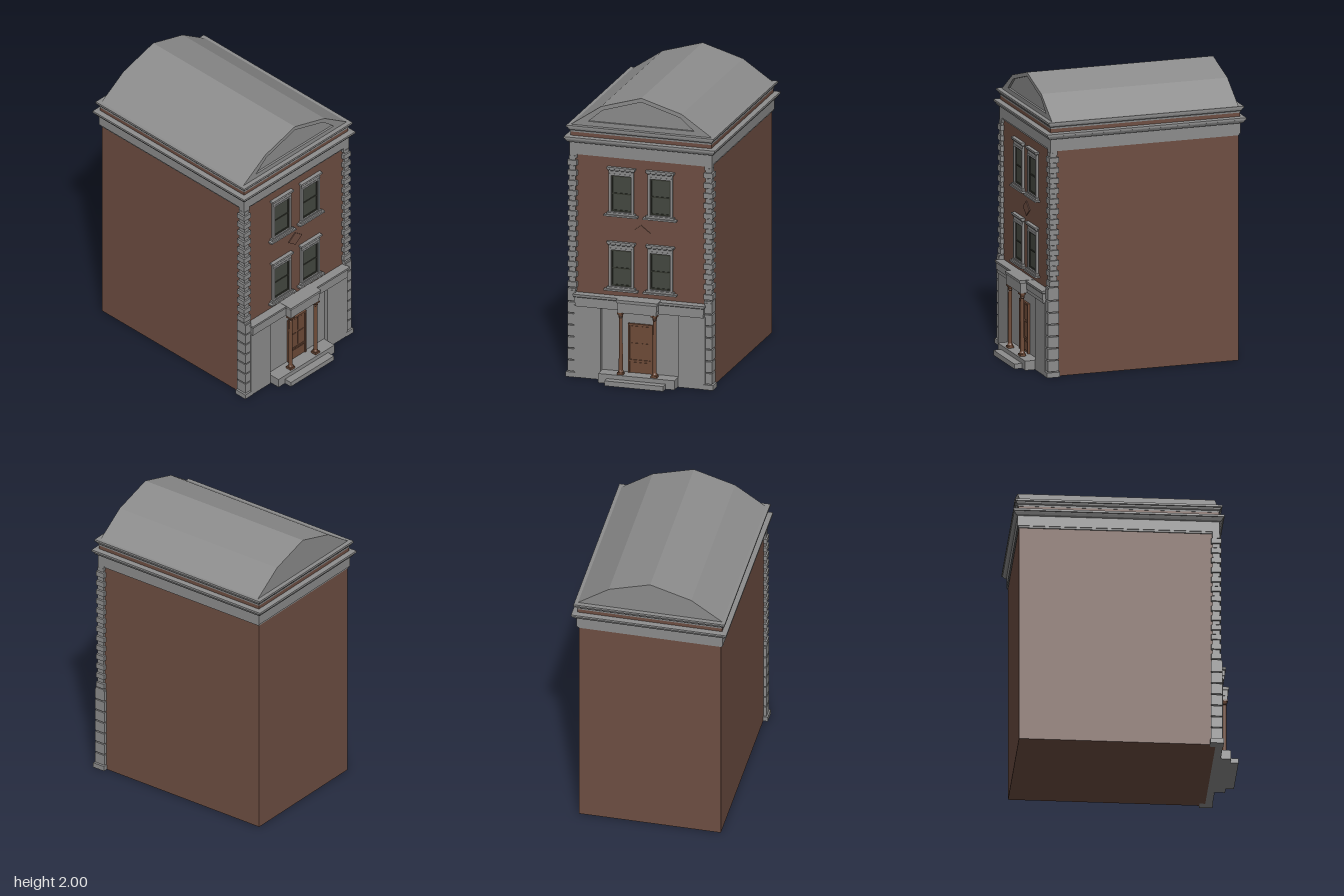
import * as THREE from 'three';

const mat = (name, color, side = THREE.FrontSide) => {
  const m = new THREE.MeshStandardMaterial({ color, side });
  m.name = name;
  return m;
};

export function createModel() {
  const stone = mat('stone', 0x8c8c8c);
  const brick = mat('brick', 0x6e4e42);
  const wood = mat('wood', 0x6e4b38);
  const glass = mat('glass', 0x444840);
  const sash = mat('sash', 0x35372f);
  const house = new THREE.Group();
  house.name = 'townhouse';

  const add = (name, geo, material, parent = house) => {
    const m = new THREE.Mesh(geo, material);
    m.name = name;
    parent.add(m);
    return m;
  };
  // Box given by its limits on each axis
  const box = (name, x0, x1, y0, y1, z0, z1, material, parent) => {
    const m = add(name, new THREE.BoxGeometry(x1 - x0, y1 - y0, z1 - z0), material, parent);
    m.position.set((x0 + x1) / 2, (y0 + y1) / 2, (z0 + z1) / 2);
    return m;
  };
  // Rectangular moulding: stacked rings of [outward offset, height] round a plan
  const moulding = (name, plan, profile, material, parent) => {
    const pos = [], idx = [], [x0, x1, z0, z1] = plan;
    for (const [o, y] of profile)
      pos.push(x0 - o, y, z1 + o, x1 + o, y, z1 + o, x1 + o, y, z0 - o, x0 - o, y, z0 - o);
    const n = profile.length;
    for (let r = 0; r < n - 1; r++)
      for (let i = 0; i < 4; i++) {
        const a = r * 4 + i, b = r * 4 + (i + 1) % 4;
        idx.push(a, b, b + 4, a, b + 4, a + 4);
      }
    const t = (n - 1) * 4;
    idx.push(t, t + 1, t + 2, t, t + 2, t + 3, 0, 2, 1, 0, 3, 2);
    let g = new THREE.BufferGeometry();
    g.setAttribute('position', new THREE.Float32BufferAttribute(pos, 3));
    g.setIndex(idx);
    g = g.toNonIndexed();
    g.computeVertexNormals();
    return add(name, g, material, parent);
  };
  const shape = (pts) => new THREE.Shape(pts.map(([x, y]) => new THREE.Vector2(x, y)));
  const extrude = (s, depth) => new THREE.ExtrudeGeometry(s, { depth, bevelEnabled: false });

  // Main brick walls
  box('brickWalls', -0.49, 0.49, 0, 1.6, -0.73, 0.61, brick);

  // Frieze and cornices
  const plan = [-0.495, 0.495, -0.73, 0.615];
  moulding('frieze', plan, [[0.004, 1.565], [0.004, 1.577], [0.01, 1.577], [0.01, 1.652]], stone);
  moulding('lowerCornice', plan, [[0.012, 1.65], [0.024, 1.656], [0.032, 1.67], [0.034, 1.676],
    [0.041, 1.678], [0.041, 1.692], [0.005, 1.696]], stone);
  moulding('brickBand', plan, [[0.005, 1.69], [0.005, 1.725]], brick);
  moulding('upperCornice', plan, [[0.007, 1.722], [0.008, 1.734], [0.017, 1.744], [0.019, 1.754],
    [0.027, 1.756], [0.027, 1.77]], stone);

  // Faceted roof with a sunken front gable
  const roofLine = [[-0.5, 1.769], [0.5, 1.769], [0.285, 1.915], [0, 2], [-0.285, 1.915]];
  add('roof', extrude(shape(roofLine), 1.32), stone).position.z = -0.725;
  const rim = shape(roofLine);
  rim.holes.push(shape([[-0.375, 1.802], [-0.275, 1.888], [0, 1.972], [0.275, 1.888], [0.375, 1.802]]));
  add('gableRim', extrude(rim, 0.015), stone).position.z = 0.595;

  // Corner quoins, alternately long and short, over heavier ground floor blocks
  for (const s of [-1, 1]) {
    const q = new THREE.Group();
    q.name = s > 0 ? 'leftQuoins' : 'rightQuoins';
    house.add(q);
    const corner = (name, inner, outer, y0, y1, z0, z1) =>
      box(name, Math.min(s * inner, s * outer), Math.max(s * inner, s * outer), y0, y1, z0, z1, stone, q);
    corner('quoinCore', 0.465, 0.5, 0, 1.577, 0.58, 0.624);
    corner('quoinTop', 0.452, 0.505, 1.54, 1.577, 0.575, 0.625);
    for (let i = 0; i < 13; i++) {
      const y = 0.63 + i * 0.0715;
      corner('longQuoin', 0.45, 0.515, y, y + 0.036, 0.568, 0.635);
      corner('shortQuoin', 0.462, 0.506, y + 0.041, y + 0.067, 0.578, 0.628);
    }
    corner('plinthBlock', 0.455, 0.522, 0, 0.035, 0.562, 0.653);
    for (let i = 0; i < 7; i++) {
      const y = 0.04 + i * 0.0825;
      corner('baseQuoin', 0.458, 0.512, y, y + 0.074, 0.566, 0.644);
    }
    corner('baseCap', 0.455, 0.512, 0.605, 0.622, 0.57, 0.64);
  }

  // Ground floor stone front with a recessed entrance bay
  const porch = new THREE.Group();
  porch.name = 'entranceFront';
  house.add(porch);
  box('entranceWall', -0.465, 0.465, 0, 0.52, 0.6, 0.62, stone, porch);
  for (const s of [-1, 1]) {
    const p = box('sidePanel', -0.095, 0.095, 0, 0.51, 0.6, 0.65, stone, porch);
    p.position.x = s * 0.37;
  }
  moulding('entablature', [-0.455, 0.455, 0.6, 0.66],
    [[0, 0.505], [0, 0.53], [0.004, 0.53], [0.004, 0.57], [0.01, 0.575], [0.012, 0.592]], stone, porch);
  moulding('porchEntablature', [-0.137, 0.137, 0.6, 0.705],
    [[0, 0.502], [0, 0.53], [0.003, 0.53], [0.003, 0.568], [0.009, 0.577], [0.01, 0.594]], stone, porch);
  box('upperStep', -0.27, 0.27, 0, 0.065, 0.6, 0.72, stone, porch);
  box('lowerStep', -0.208, 0.208, 0, 0.035, 0.65, 0.775, stone, porch);

  // Turned wooden columns
  const colProfile = [[0, 0.08], [0.019, 0.08], [0.019, 0.088], [0.0145, 0.096], [0.0125, 0.465],
    [0.0165, 0.47], [0.0135, 0.476], [0.019, 0.492], [0, 0.492]].map(([r, y]) => new THREE.Vector2(r, y));
  for (const s of [-1, 1]) {
    const c = new THREE.Group();
    c.name = s > 0 ? 'leftColumn' : 'rightColumn';
    c.position.set(s * 0.12, 0, 0.687);
    porch.add(c);
    const g = new THREE.LatheGeometry(colProfile, 12).toNonIndexed();
    g.computeVertexNormals();
    add('columnShaft', g, wood, c);
    box('columnBase', -0.021, 0.021, 0.065, 0.08, -0.021, 0.021, wood, c);
    box('columnCap', -0.021, 0.021, 0.492, 0.502, -0.021, 0.021, wood, c);
  }

  // Panelled door
  const door = new THREE.Group();
  door.name = 'door';
  house.add(door);
  box('doorLeaf', -0.078, 0.078, 0.065, 0.405, 0.61, 0.627, wood, door);
  for (const s of [-1, 1]) {
    box('doorJamb', -0.006, 0.006, 0.065, 0.412, 0.61, 0.636, wood, door).position.x = s * 0.081;
    box('topPanel', -0.027, 0.027, 0.29, 0.395, 0.625, 0.632, wood, door).position.x = s * 0.037;
    box('middlePanel', -0.027, 0.027, 0.17, 0.275, 0.625, 0.632, wood, door).position.x = s * 0.037;
  }
  box('doorHead', -0.087, 0.087, 0.4, 0.412, 0.61, 0.636, wood, door);
  box('bottomPanel', -0.064, 0.064, 0.08, 0.14, 0.625, 0.632, wood, door);
  box('doorRail', -0.075, 0.075, 0.147, 0.158, 0.625, 0.634, wood, door);

  // Sash windows, two per upper floor; heights are from the sill
  const windowAt = (x, y) => {
    const w = new THREE.Group();
    w.name = 'window';
    w.position.set(x, y, 0);
    house.add(w);
    const surround = shape([[-0.088, 0.015], [0.088, 0.015], [0.088, 0.3], [-0.088, 0.3]]);
    surround.holes.push(shape([[-0.072, 0.032], [-0.072, 0.286], [0.072, 0.286], [0.072, 0.032]]));
    add('windowSurround', extrude(surround, 0.022), stone, w).position.z = 0.605;
    box('windowPane', -0.073, 0.073, 0.03, 0.288, 0.608, 0.612, glass, w);
    const frame = shape([[-0.073, 0.031], [0.073, 0.031], [0.073, 0.287], [-0.073, 0.287]]);
    frame.holes.push(shape([[-0.063, 0.043], [-0.063, 0.276], [0.063, 0.276], [0.063, 0.043]]));
    add('sashFrame', extrude(frame, 0.006), sash, w).position.z = 0.611;
    box('sashRail', -0.064, 0.064, 0.154, 0.163, 0.611, 0.617, sash, w);
    moulding('windowHead', [-0.088, 0.088, 0.6, 0.625],
      [[0, 0.295], [0, 0.318], [0.006, 0.322], [0.008, 0.33], [0.012, 0.332], [0.012, 0.345]], stone, w);
    box('windowSill', -0.118, 0.118, 0, 0.012, 0.6, 0.643, stone, w);
    box('sillBed', -0.1, 0.1, 0.01, 0.026, 0.6, 0.633, stone, w);
  };
  for (const x of [-0.138, 0.138]) for (const y of [0.63, 1.155]) windowAt(x, y);

  // Brick diamond between the floors
  add('diamond', extrude(shape([[-0.065, 0], [0, -0.05], [0.065, 0], [0, 0.05]]), 0.008), brick)
    .position.set(0, 1.055, 0.608);

  return house;
}
